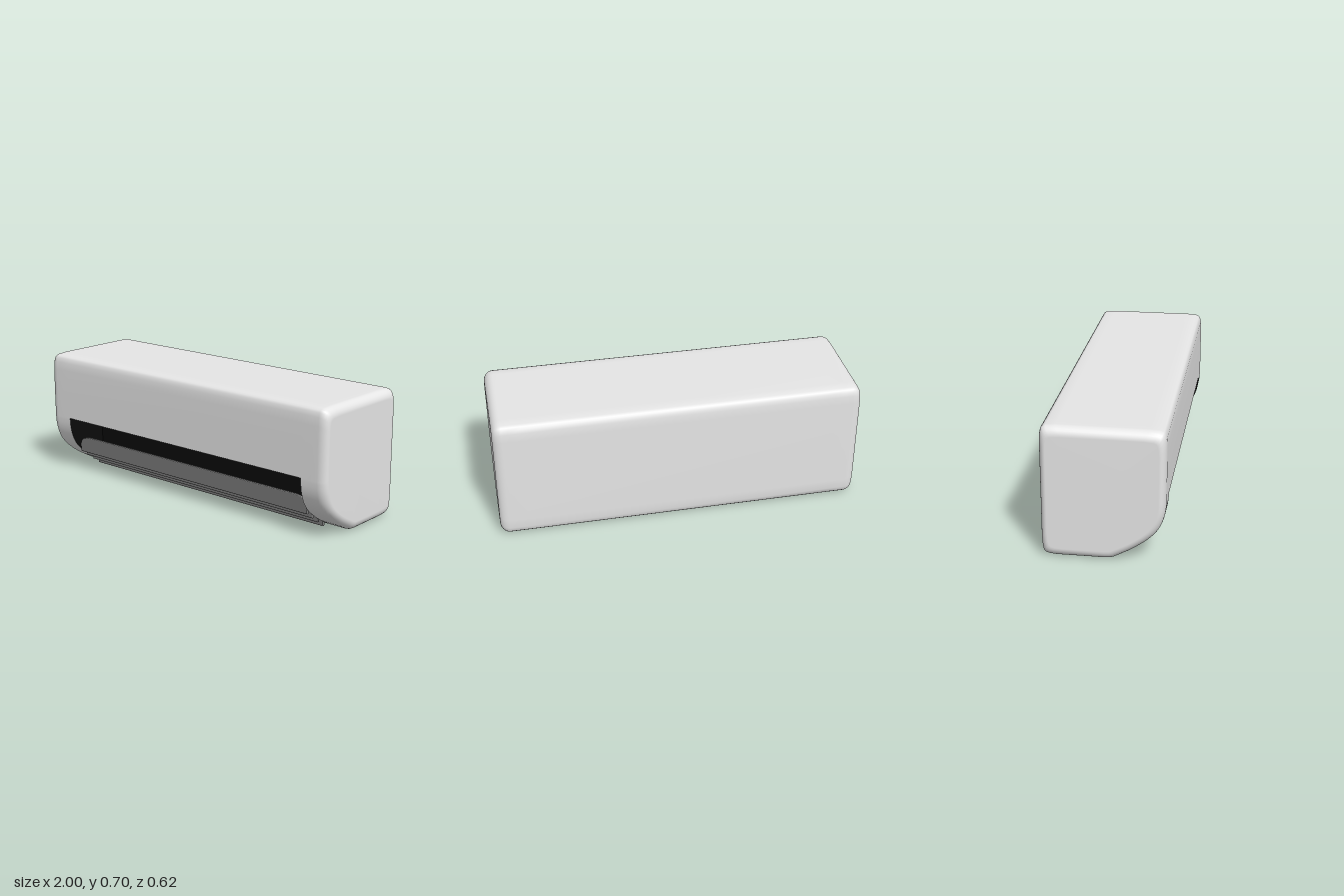
import * as THREE from 'three';

export function createModel() {
  const casingMat = new THREE.MeshStandardMaterial({ color: 0xe6e6e6 });
  const cavityMat = new THREE.MeshStandardMaterial({ color: 0x0b0b0b, side: THREE.DoubleSide });
  const slatMat = new THREE.MeshStandardMaterial({ color: 0x7a7a7a });
  casingMat.name = 'casing white';
  cavityMat.name = 'cavity black';
  slatMat.name = 'slat grey';

  const model = new THREE.Group();
  model.name = 'wallAirConditioner';
  const add = (name, geometry, material) => {
    const mesh = new THREE.Mesh(geometry, material);
    mesh.name = name;
    model.add(mesh);
    return mesh;
  };

  // Side profile as [z, y]: from the outlet lip up, over the top, down the back, along the bottom
  const outer = [
    [0.312, 0.325], [0.3125, 0.45], [0.3125, 0.61], [0.31, 0.655], [0.304, 0.678], [0.296, 0.689], [0.28, 0.696],
    [0.23, 0.7], [-0.23, 0.7], [-0.28, 0.697], [-0.296, 0.69], [-0.305, 0.678], [-0.31, 0.655], [-0.3125, 0.61],
    [-0.3125, 0.1], [-0.309, 0.045], [-0.303, 0.02], [-0.292, 0.009], [-0.27, 0.003], [-0.23, 0],
    [0.01, 0], [0.035, 0.002], [0.052, 0.008],
  ];
  // Curved lower front, where the outlet is cut
  const curve = new THREE.SplineCurve([
    [0.052, 0.008], [0.09, 0.028], [0.14, 0.056], [0.19, 0.09], [0.225, 0.118],
    [0.257, 0.15], [0.283, 0.19], [0.3, 0.235], [0.309, 0.28], [0.312, 0.325],
  ].map(p => new THREE.Vector2(...p))).getPoints(24);
  const profile = [...outer, ...curve.slice(1, -1).map(p => [p.x, p.y])];

  // Casing: the profile lofted along x, with rounded ends and a gap for the outlet
  const outletX = 0.85, round = 0.05, steps = 7;
  const half = [{ x: outletX, inset: 0 }, { x: 0.91, inset: 0 }];
  for (let k = 0; k <= steps; k++) {
    const a = (k / steps) * Math.PI / 2;
    half.push({ x: 1 - round + round * Math.sin(a), inset: 1 - Math.cos(a) });
  }
  const stations = [...half.map(s => ({ x: -s.x, inset: s.inset })).reverse(), ...half];
  const n = profile.length, positions = [], index = [];
  for (const { x, inset } of stations) {
    for (const [z, y] of profile) {
      positions.push(x, 0.35 + (y - 0.35) * (1 - inset * 0.05 / 0.35), z * (1 - inset * 0.035 / 0.3125));
    }
  }
  for (let i = 0; i < stations.length - 1; i++) {
    const middle = i === half.length - 1;
    for (let j = 0; j < n; j++) {
      if (middle && j >= outer.length - 1) continue;
      const a = i * n + j, b = i * n + (j + 1) % n;
      index.push(a, a + n, b + n, a, b + n, b);
    }
  }
  // Flat end faces
  const last = (stations.length - 1) * n, centre = positions.length / 3;
  positions.push(-1, 0.35, 0, 1, 0.35, 0);
  for (let j = 0; j < n; j++) {
    const k = (j + 1) % n;
    index.push(centre, j, k, centre + 1, last + k, last + j);
  }
  const casing = new THREE.BufferGeometry();
  casing.setAttribute('position', new THREE.Float32BufferAttribute(positions, 3));
  casing.setIndex(index);
  casing.computeVertexNormals();
  add('casing', casing, casingMat);

  // Outlet cavity: ceiling, back wall and two end walls
  const ceiling = add('outletCeiling', new THREE.PlaneGeometry(2 * outletX, 0.26).rotateX(Math.PI / 2), cavityMat);
  ceiling.position.set(0, 0.325, 0.182);
  const backWall = add('outletBack', new THREE.PlaneGeometry(2 * outletX, 0.317), cavityMat);
  backWall.position.set(0, 0.1665, 0.052);
  const wall = new THREE.ShapeGeometry(new THREE.Shape([...curve, new THREE.Vector2(0.052, 0.325)]));
  wall.rotateY(-Math.PI / 2);
  for (const side of [-1, 1]) {
    add(side > 0 ? 'outletLeftWall' : 'outletRightWall', wall, cavityMat).position.x = side * outletX;
  }

  // Slats: four upright blades with rounded top corners, stepping down towards the back
  const w = 0.838, h = 0.086, r = 0.045, bevel = 0.004;
  const blade = new THREE.Shape();
  blade.moveTo(-w, 0);
  blade.lineTo(w, 0);
  blade.lineTo(w, h - r);
  blade.quadraticCurveTo(w, h, w - 2 * r, h);
  blade.lineTo(-w + 2 * r, h);
  blade.quadraticCurveTo(-w, h, -w, h - r);
  const slat = new THREE.ExtrudeGeometry(blade, {
    depth: 0.007, bevelEnabled: true, bevelThickness: bevel, bevelSize: bevel, bevelSegments: 3, curveSegments: 8,
  });
  slat.translate(0, bevel, -0.0035);
  for (let i = 0; i < 4; i++) {
    add('slat' + (i + 1), slat, slatMat).position.set(0, 0.11 - i * 0.035, 0.233 - i * 0.0475);
  }
  return model;
}
